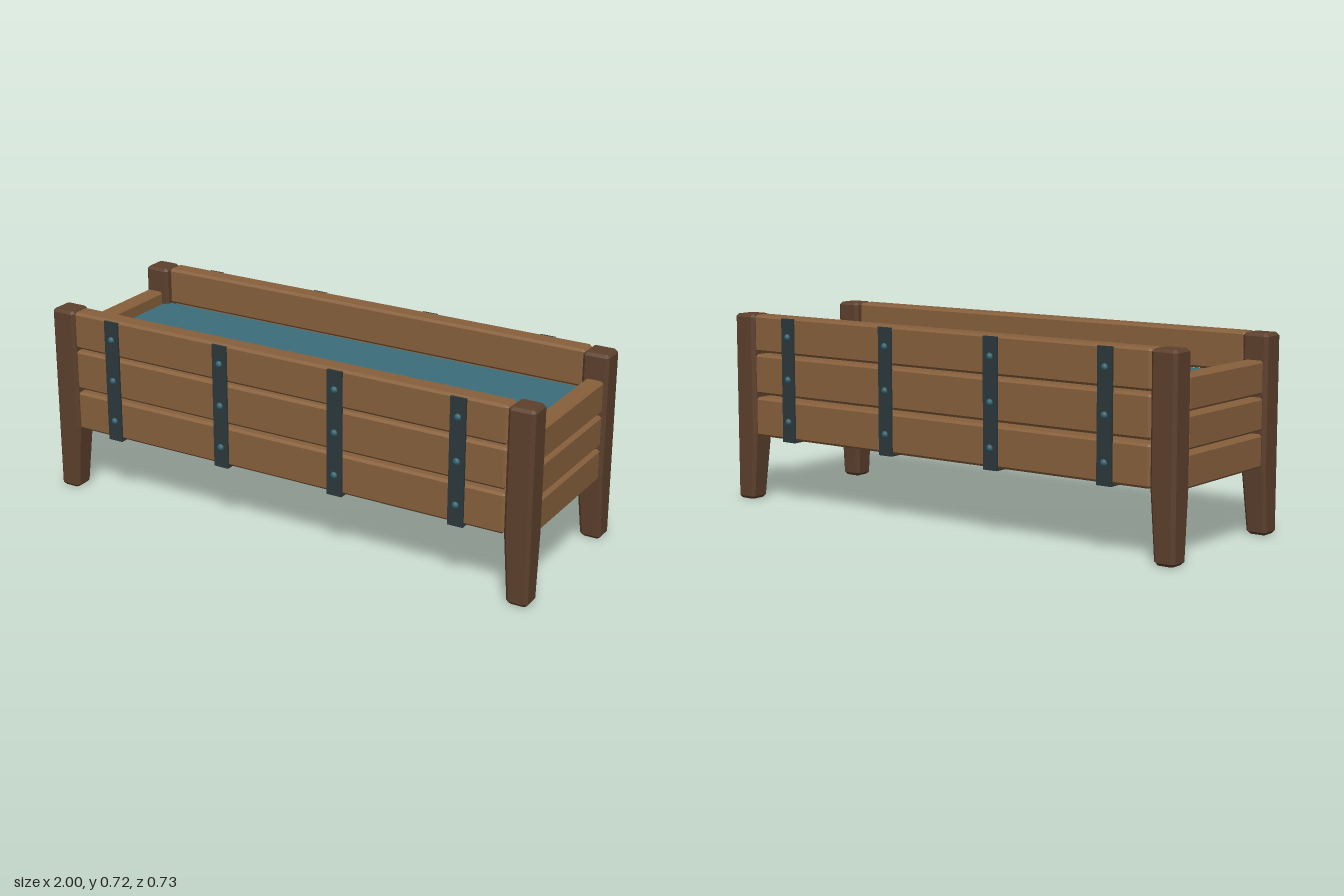
import * as THREE from 'three';
import { ConvexGeometry } from 'three/addons/geometries/ConvexGeometry.js';

const mat = (name, color) => {
  const m = new THREE.MeshStandardMaterial({ color });
  m.name = name;
  return m;
};

// Eight corners of a rectangle with cut corners, at height y
function ring(x0, x1, z0, z1, y, c) {
  const pts = [];
  for (const [x, sx] of [[x0, 1], [x1, -1]])
    for (const [z, sz] of [[z0, 1], [z1, -1]])
      pts.push(new THREE.Vector3(x + sx * c, y, z), new THREE.Vector3(x, y, z + sz * c));
  return pts;
}

// Box with every edge chamfered
function chamferBox(w, h, d, c) {
  const pts = [];
  for (const x of [-1, 1]) for (const y of [-1, 1]) for (const z of [-1, 1]) {
    const X = x * w / 2, Y = y * h / 2, Z = z * d / 2;
    pts.push(
      new THREE.Vector3(X, Y - y * c, Z - z * c),
      new THREE.Vector3(X - x * c, Y, Z - z * c),
      new THREE.Vector3(X - x * c, Y - y * c, Z));
  }
  return new ConvexGeometry(pts);
}

export function createModel() {
  const root = new THREE.Group();
  root.name = 'planterBox';
  const plankWood = mat('plankWood', 0x87603c);
  const postWood = mat('postWood', 0x5c402c);
  const iron = mat('darkIron', 0x2c393b);
  const rivetMetal = mat('rivetTeal', 0x32626f);
  const fillTeal = mat('fillTeal', 0x3c6c7a);

  const add = (name, geo, material, x = 0, y = 0, z = 0, parent = root) => {
    const m = new THREE.Mesh(geo, material);
    m.name = name;
    m.position.set(x, y, z);
    parent.add(m);
    return m;
  };

  // Corner posts, tapering on their inner faces below the planks
  for (const sx of [-1, 1]) for (const sz of [-1, 1]) {
    const level = (y, inX, inZ, inset, c) => {
      const xs = [sx * (inX + inset), sx * (1 - inset)].sort((a, b) => a - b);
      const zs = [sz * (inZ + inset), sz * (0.35 - inset)].sort((a, b) => a - b);
      return ring(xs[0], xs[1], zs[0], zs[1], y, c);
    };
    const pts = [
      ...level(0, 0.919, 0.269, 0.01, 0.006),
      ...level(0.011, 0.918, 0.268, 0, 0.012),
      ...level(0.26, 0.9, 0.25, 0, 0.012),
      ...level(0.714, 0.9, 0.25, 0, 0.012),
      ...level(0.724, 0.9, 0.25, 0.01, 0.006),
    ];
    add('cornerPost', new ConvexGeometry(pts), postWood);
  }

  // Long planks, front and back
  const longRows = [[0.254, 0.405], [0.418, 0.572], [0.581, 0.724]];
  for (const s of [-1, 1])
    for (const [y0, y1] of longRows)
      add('longPlank', chamferBox(1.8, y1 - y0, 0.075, 0.009), plankWood, 0, (y0 + y1) / 2, s * 0.3075);

  // Short planks at both ends
  const endRows = [[0.25, 0.37], [0.381, 0.5], [0.511, 0.631]];
  for (const s of [-1, 1])
    for (const [y0, y1] of endRows)
      add('endPlank', chamferBox(0.07, y1 - y0, 0.5, 0.008), plankWood, s * 0.955, (y0 + y1) / 2, 0);

  // Floor board and the fill
  add('floorBoard', new THREE.BoxGeometry(1.84, 0.03, 0.54), postWood, 0, 0.275, 0);
  add('fill', new THREE.BoxGeometry(1.84, 0.02, 0.55), fillTeal, 0, 0.57, 0);

  // Iron straps hooked under the lowest plank, with three rivets each
  const rivet = new THREE.SphereGeometry(0.014, 12, 8);
  for (const s of [-1, 1]) for (let i = 0; i < 4; i++) {
    const strap = new THREE.Group();
    strap.name = 'strap';
    strap.position.x = -0.723 + 0.481 * i;
    root.add(strap);
    add('strapBand', new THREE.BoxGeometry(0.06, 0.474, 0.009), iron, 0, 0.483, s * 0.3485, strap);
    add('strapFoot', new THREE.BoxGeometry(0.06, 0.009, 0.055), iron, 0, 0.2505, s * 0.3255, strap);
    for (const y of [0.325, 0.487, 0.649])
      add('rivet', rivet, rivetMetal, 0, y, s * 0.35, strap);
  }
  return root;
}
